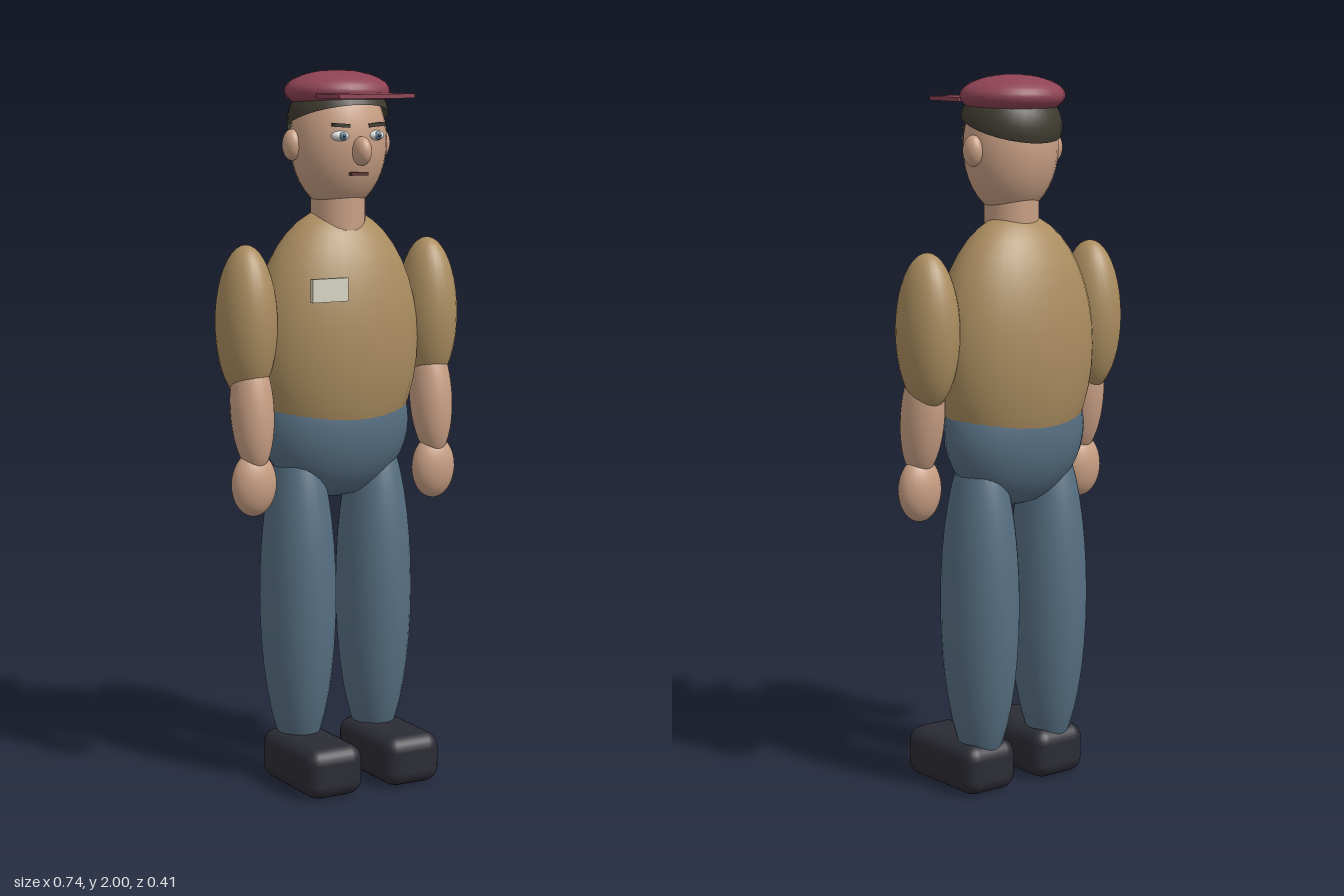
import * as THREE from 'three';
import { RoundedBoxGeometry } from 'three/addons/geometries/RoundedBoxGeometry.js';

const paint = (name, color) => {
  const m = new THREE.MeshStandardMaterial({ color });
  m.name = name;
  return m;
};

export function createModel() {
  const model = new THREE.Group();
  model.name = 'standingMan';

  const skin = paint('skin', 0xc89f84);
  const shirt = paint('shirt tan', 0xab8d60);
  const denim = paint('trouser blue', 0x566f82);
  const capRed = paint('cap red', 0x8e4355);
  const hairDark = paint('hair dark', 0x3f3b31);
  const shoeDark = paint('shoe dark', 0x2b2b34);
  const badgeCream = paint('badge cream', 0xd8d5c2);
  const eyeWhite = paint('eye white', 0xdcdcd8);
  const irisBlue = paint('iris blue', 0x5b7d98);
  const lip = paint('lip dark', 0x5e3030);
  hairDark.side = THREE.DoubleSide;

  const add = (name, geometry, material, pos) => {
    const mesh = new THREE.Mesh(geometry, material);
    mesh.name = name;
    mesh.position.set(...pos);
    model.add(mesh);
    return mesh;
  };
  const ellipsoid = (name, material, pos, radii) =>
    add(name, new THREE.SphereGeometry(1, 28, 20).scale(...radii), material, pos);
  const box = (name, material, pos, size) =>
    add(name, new THREE.BoxGeometry(...size), material, pos);

  // Body
  ellipsoid('torso', shirt, [0, 1.25, -0.037], [0.25, 0.375, 0.166]);
  ellipsoid('pelvis', denim, [0, 1.02, -0.037], [0.225, 0.212, 0.139]);
  add('neck', new THREE.CylinderGeometry(0.076, 0.076, 0.16, 24), skin, [0, 1.61, -0.022]);
  box('badge', badgeCream, [-0.12, 1.412, 0.144], [0.11, 0.064, 0.013]);

  // Head, nose and mouth
  ellipsoid('head', skin, [0, 1.805, -0.019], [0.138, 0.19, 0.122]);
  ellipsoid('nose', skin, [0, 1.782, 0.11], [0.025, 0.04, 0.035]);
  box('mouth', lip, [0, 1.72, 0.09], [0.054, 0.009, 0.02]);

  // Hair: half shell tilted down at the back
  const hair = add('hair',
    new THREE.SphereGeometry(1, 28, 10, 0, Math.PI * 2, 0, Math.PI / 2).scale(0.143, 0.125, 0.138),
    hairDark, [0, 1.862, -0.021]);
  hair.rotation.x = -0.33;

  // Cap
  ellipsoid('capCrown', capRed, [0, 1.942, -0.027], [0.148, 0.058, 0.14]);
  box('capBrim', capRed, [0, 1.931, 0.129], [0.234, 0.012, 0.128]);

  // Paired parts
  for (const [side, s] of [['left', 1], ['right', -1]]) {
    const n = (part) => side + part;
    ellipsoid(n('Ear'), skin, [s * 0.14, 1.797, -0.03], [0.026, 0.043, 0.031]);
    ellipsoid(n('Eye'), eyeWhite, [s * 0.055, 1.823, 0.088], [0.026, 0.014, 0.02]);
    ellipsoid(n('Iris'), irisBlue, [s * 0.055, 1.823, 0.104], [0.011, 0.011, 0.007]);
    ellipsoid(n('Pupil'), shoeDark, [s * 0.055, 1.823, 0.109], [0.005, 0.005, 0.004]);
    const brow = box(n('Eyebrow'), hairDark, [s * 0.055, 1.852, 0.092], [0.05, 0.01, 0.016]);
    brow.rotation.z = s * 0.08;

    ellipsoid(n('Sleeve'), shirt, [s * 0.289, 1.315, -0.02], [0.083, 0.215, 0.097]);
    const forearm = ellipsoid(n('Forearm'), skin, [s * 0.287, 1.08, 0.008], [0.06, 0.175, 0.064]);
    forearm.rotation.x = -0.12;
    ellipsoid(n('Hand'), skin, [s * 0.289, 0.875, 0.02], [0.066, 0.09, 0.047]);

    ellipsoid(n('Leg'), denim, [s * 0.123, 0.535, -0.035], [0.104, 0.48, 0.122]);
    add(n('Shoe'), new RoundedBoxGeometry(0.176, 0.143, 0.312, 3, 0.042), shoeDark,
      [s * 0.125, 0.0715, 0.05]);
  }
  return model;
}
